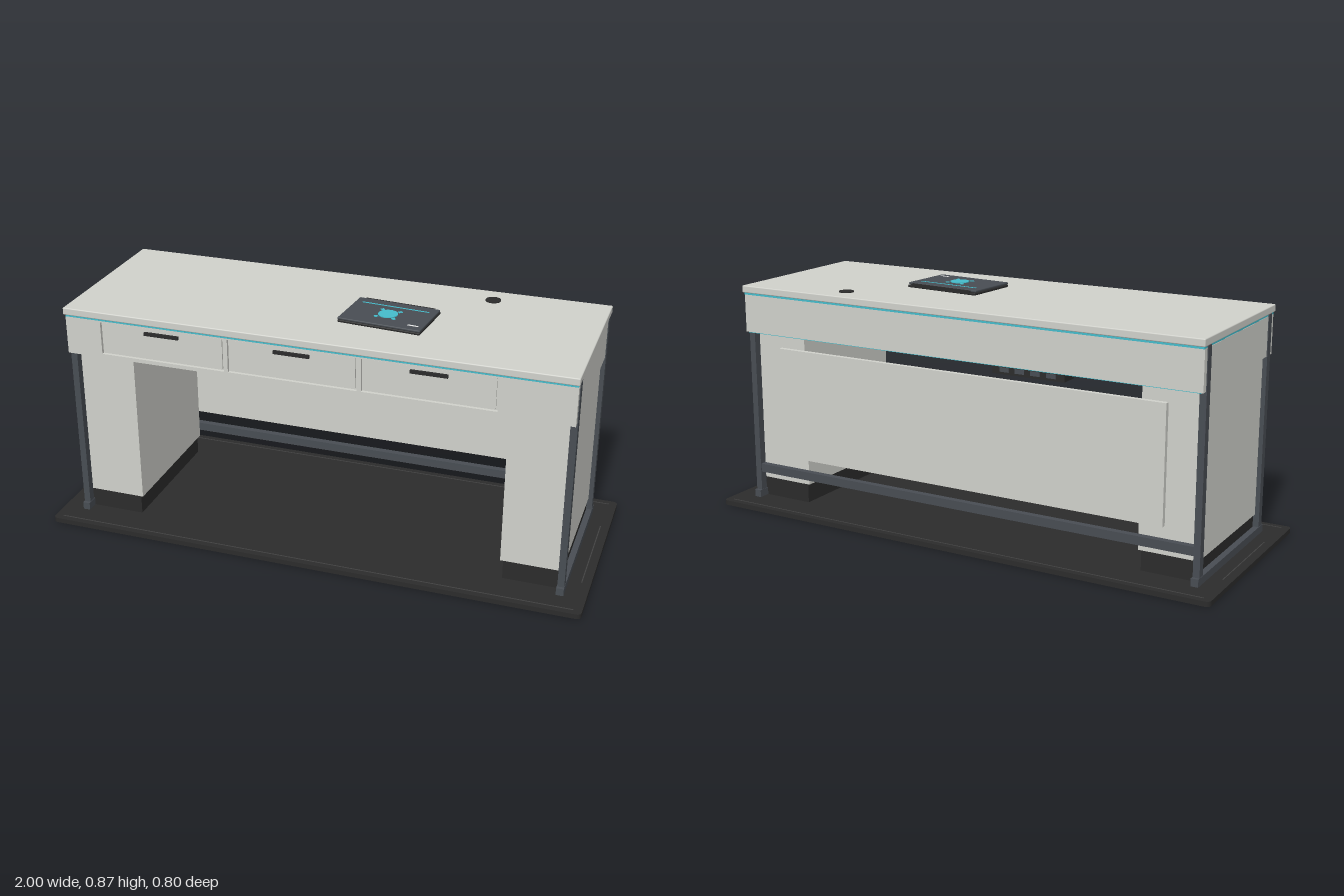
import * as THREE from 'three';
import { RoundedBoxGeometry } from 'three/addons/geometries/RoundedBoxGeometry.js';

const mat = (name, color) => {
  const m = new THREE.MeshStandardMaterial({ color });
  m.name = name;
  return m;
};

export function createModel() {
  const panel = mat('light panel', 0xd0d1cb);
  const steel = mat('slate steel', 0x484d53);
  const dark = mat('charcoal', 0x2b2b2b);
  const stitch = mat('mat stitching', 0x414141);
  const cyan = mat('cyan light', 0x45bccb);
  const white = mat('white mark', 0xe8e8e8);

  const model = new THREE.Group();
  model.name = 'desk';

  const add = (name, geometry, material, parent = model) => {
    const mesh = new THREE.Mesh(geometry, material);
    mesh.name = name;
    parent.add(mesh);
    return mesh;
  };
  // Box given by its minimum and maximum on each axis
  const box = (name, material, x0, x1, y0, y1, z0, z1, parent = model, radius = 0) => {
    const size = [x1 - x0, y1 - y0, z1 - z0];
    const geometry = radius
      ? new RoundedBoxGeometry(...size, 2, radius)
      : new THREE.BoxGeometry(...size);
    const mesh = add(name, geometry, material, parent);
    mesh.position.set((x0 + x1) / 2, (y0 + y1) / 2, (z0 + z1) / 2);
    return mesh;
  };
  // The same box on the left and right, given by its left copy
  const pair = (name, material, x0, x1, ...rest) => {
    box(name + 'Left', material, x0, x1, ...rest);
    box(name + 'Right', material, -x1, -x0, ...rest);
  };

  // Floor mat with a stitched border
  const rounded = new THREE.Shape();
  const r = 0.02, w = 1, d = 0.4;
  rounded.moveTo(-w + r, -d);
  rounded.lineTo(w - r, -d);
  rounded.quadraticCurveTo(w, -d, w, -d + r);
  rounded.lineTo(w, d - r);
  rounded.quadraticCurveTo(w, d, w - r, d);
  rounded.lineTo(-w + r, d);
  rounded.quadraticCurveTo(-w, d, -w, d - r);
  rounded.lineTo(-w, -d + r);
  rounded.quadraticCurveTo(-w, -d, -w + r, -d);
  const matGeometry = new THREE.ExtrudeGeometry(rounded, { depth: 0.018, bevelEnabled: false });
  add('floorMat', matGeometry.rotateX(-Math.PI / 2), dark);
  for (const s of [-1, 1]) {
    box('matStitchLong', stitch, -0.97, 0.97, 0.018, 0.019, s * 0.375 - 0.002, s * 0.375 + 0.002);
    box('matStitchShort', stitch, s * 0.967 - 0.002, s * 0.967 + 0.002, 0.018, 0.019, -0.2, 0.2);
  }

  // Desktop and the light strip below it
  box('desktop', panel, -0.922, 0.922, 0.825, 0.852, -0.325, 0.325, model, 0.004);
  box('underTopLight', cyan, -0.917, 0.917, 0.817, 0.826, -0.317, 0.317);

  // Apron with three recessed drawers
  box('apron', panel, -0.918, 0.918, 0.675, 0.818, -0.315, 0.303);
  const front = new THREE.Shape();
  front.moveTo(-0.918, 0.675);
  front.lineTo(0.918, 0.675);
  front.lineTo(0.918, 0.818);
  front.lineTo(-0.918, 0.818);
  const drawerCentres = [-0.547, -0.062, 0.423];
  for (const x of drawerCentres) {
    const hole = new THREE.Path();
    hole.moveTo(x - 0.235, 0.689);
    hole.lineTo(x - 0.235, 0.811);
    hole.lineTo(x + 0.235, 0.811);
    hole.lineTo(x + 0.235, 0.689);
    front.holes.push(hole);
    box('drawerFront', panel, x - 0.228, x + 0.228, 0.696, 0.808, 0.302, 0.309);
    box('drawerHandle', dark, x - 0.065, x + 0.065, 0.784, 0.796, 0.308, 0.318);
  }
  const frame = add('drawerFrame',
    new THREE.ExtrudeGeometry(front, { depth: 0.013, bevelEnabled: false }), panel);
  frame.position.z = 0.302;
  box('backLowerLight', cyan, -0.91, 0.91, 0.672, 0.676, -0.311, -0.305);

  // Pedestals on dark plinths
  pair('pedestal', panel, 0.687, 0.905, 0.092, 0.676, -0.265, 0.265);
  pair('plinth', dark, 0.697, 0.9, 0.018, 0.093, -0.26, 0.26);

  // Steel frame
  for (const s of [-1, 1]) {
    pair('leg', steel, 0.897, 0.921, 0.03, 0.825, s * 0.279 - 0.0145, s * 0.279 + 0.0145);
  }
  pair('footRail', steel, 0.895, 0.922, 0.018, 0.046, -0.305, 0.305);
  box('backRail', steel, -0.9, 0.9, 0.118, 0.15, -0.29, -0.266);

  // Modesty panel and the power strip above it
  box('modestyPanel', panel, -0.785, 0.785, 0.198, 0.62, -0.293, -0.275);
  box('powerStrip', dark, -0.42, -0.145, 0.643, 0.676, -0.3, -0.23);
  for (let i = 0; i < 4; i++) {
    const x = -0.37 + i * 0.06;
    box('socket', steel, x - 0.018, x + 0.018, 0.651, 0.667, -0.302, -0.299);
  }

  // Cable grommet
  add('cableGrommet', new THREE.CylinderGeometry(0.028, 0.028, 0.004, 24), dark)
    .position.set(0.508, 0.853, -0.235);

  // Closed laptop, turned slightly
  const laptop = new THREE.Group();
  laptop.name = 'laptop';
  laptop.position.set(0.203, 0.852, 0.043);
  laptop.rotation.y = -0.083;
  model.add(laptop);
  box('laptopBase', dark, -0.152, 0.152, 0.001, 0.01, -0.106, 0.106, laptop, 0.003);
  box('laptopLid', steel, -0.152, 0.152, 0.011, 0.019, -0.1, 0.106, laptop, 0.003);
  box('laptopHinge', dark, -0.13, 0.13, 0.004, 0.017, -0.108, -0.096, laptop);
  box('lidLight', cyan, -0.125, 0.125, 0.019, 0.02, -0.062, -0.056, laptop);
  box('lidMark', white, 0.095, 0.135, 0.019, 0.02, 0.07, 0.077, laptop);
  // Round lid emblem with four corner ticks
  add('lidDisc', new THREE.CylinderGeometry(0.035, 0.035, 0.003, 24), cyan, laptop)
    .position.set(0, 0.0205, 0.012);
  for (let i = 0; i < 4; i++) {
    const a = Math.PI / 4 + i * Math.PI / 2;
    const tick = add('lidTick', new THREE.BoxGeometry(0.014, 0.002, 0.012), cyan, laptop);
    tick.position.set(Math.cos(a) * 0.046, 0.02, 0.012 + Math.sin(a) * 0.046);
    tick.rotation.y = -a;
  }

  return model;
}
